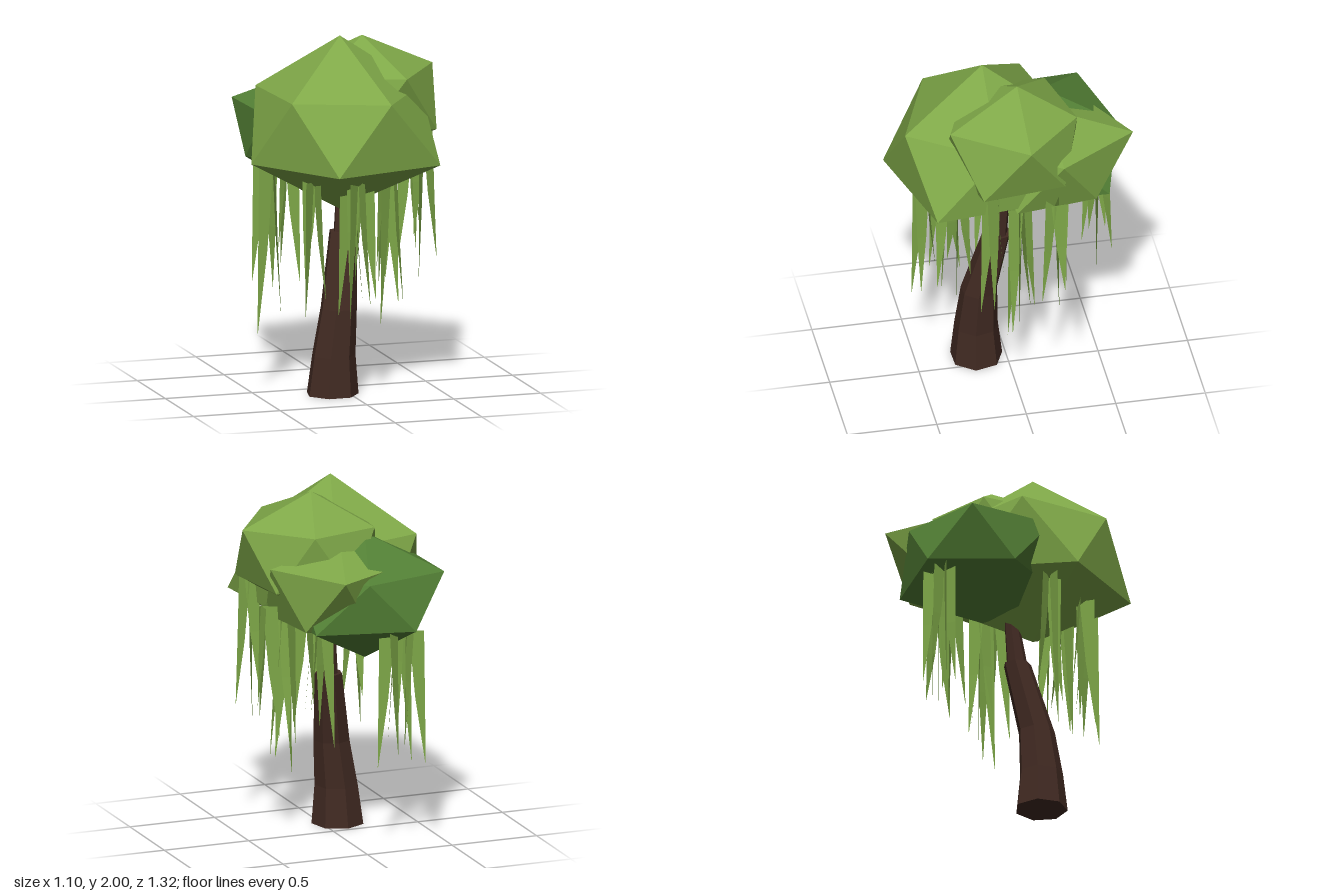
import * as THREE from 'three';

const mat = (name, color, extra = {}) => {
  const m = new THREE.MeshStandardMaterial({ color, flatShading: true, ...extra });
  m.name = name;
  return m;
};

function meshFrom(name, pts, idx, material) {
  const indexed = new THREE.BufferGeometry();
  indexed.setAttribute('position', new THREE.Float32BufferAttribute(pts, 3));
  indexed.setIndex(idx);
  const geo = indexed.toNonIndexed();
  geo.computeVertexNormals();
  const mesh = new THREE.Mesh(geo, material);
  mesh.name = name;
  return mesh;
}

// Uneven twenty-sided crown: ys = heights of top, upper ring, lower ring, bottom
function crown(name, x, z, ys, upper, lower, material) {
  const pts = [x, ys[0], z];
  const ring = (radii, y, offset) => radii.forEach((r, i) => {
    const a = THREE.MathUtils.degToRad(offset + i * 72);
    pts.push(x + r * Math.cos(a), y, z + r * Math.sin(a));
  });
  ring(upper, ys[1], 0);
  ring(lower, ys[2], 36);
  pts.push(x, ys[3], z);
  const idx = [];
  for (let i = 0; i < 5; i++) {
    const j = (i + 1) % 5;
    const u = 1 + i, u2 = 1 + j, l = 6 + i, l2 = 6 + j;
    idx.push(0, u2, u, u, u2, l, l2, l, u2, 11, l, l2);
  }
  return meshFrom(name, pts, idx, material);
}

// Seven-sided wood from rings of [x, y, z, radius], closed at both ends
function wood(name, rings, material) {
  const n = 7, pts = [], idx = [];
  rings.forEach(([x, y, z, r]) => {
    for (let i = 0; i < n; i++) {
      const a = 0.2 + (i / n) * Math.PI * 2;
      pts.push(x + r * Math.cos(a), y, z + r * Math.sin(a));
    }
  });
  const last = (rings.length - 1) * n;
  for (let i = 0; i < n; i++) {
    const j = (i + 1) % n;
    for (let k = 0; k < last; k += n) {
      idx.push(k + i, k + n + i, k + j, k + j, k + n + i, k + n + j);
    }
    if (i > 0 && i < n - 1) idx.push(0, i, j, last, last + j, last + i);
  }
  return meshFrom(name, pts, idx, material);
}

// Cluster of three hanging blades, each turned a different way
function hangingLeaves(x, z, top, tip, angle, material) {
  const pts = [], idx = [];
  [1, 0.74, 0.88].forEach((len, i) => {
    const turn = angle + i * Math.PI / 3;
    const around = angle + i * Math.PI * 2 / 3;
    const dx = Math.cos(turn), dz = Math.sin(turn);
    const ox = Math.cos(around), oz = Math.sin(around);
    const h = (top - tip) * len, b = pts.length / 3;
    // [share of the drop, half width, outward drift]
    [[0, 0.042, 0.025], [0.5, 0.027, 0.045], [1, 0.001, 0.075]].forEach(([t, w, out]) => {
      const cx = x + ox * out, cz = z + oz * out;
      pts.push(cx - dx * w, top - h * t, cz - dz * w, cx + dx * w, top - h * t, cz + dz * w);
    });
    for (let k = b; k < b + 4; k += 2) idx.push(k, k + 2, k + 1, k + 1, k + 2, k + 3);
  });
  return meshFrom('hangingLeaves', pts, idx, material);
}

export function createModel() {
  const model = new THREE.Group();
  model.name = 'tree';
  const leaf = mat('leafGreen', 0x7fa848);
  const dark = mat('darkLeafGreen', 0x538035);
  const blade = mat('hangingLeafGreen', 0x7da647, { side: THREE.DoubleSide });
  const bark = mat('barkBrown', 0x412a22);

  // Bent trunk and the thinner stem on top of it
  model.add(wood('trunk', [
    [-0.092, 0, 0.163, 0.146], [-0.085, 0.22, 0.165, 0.122],
    [-0.053, 0.48, 0.155, 0.102], [0.002, 0.89, 0.065, 0.077]], bark));
  model.add(wood('upperStem', [
    [0.006, 0.86, 0.07, 0.06], [0.015, 1.16, 0.035, 0.04]], bark));

  // Four overlapping crowns
  model.add(crown('frontCrown', -0.04, 0.14, [2, 1.69, 1.31, 1.03],
    [0.46, 0.484, 0.444, 0.486, 0.46], [0.58, 0.547, 0.51, 0.5, 0.5], leaf));
  model.add(crown('sideCrown', 0.14, -0.02, [1.96, 1.78, 1.46, 1.25],
    [0.405, 0.42, 0.38, 0.36, 0.33], [0.43, 0.4, 0.38, 0.36, 0.36], leaf));
  model.add(crown('backCrown', 0.05, -0.22, [1.71, 1.6, 1.28, 1.2],
    [0.41, 0.42, 0.36, 0.34, 0.46], [0.42, 0.3, 0.2, 0.25, 0.35], leaf));
  model.add(crown('darkCrown', -0.1, -0.21, [1.75, 1.56, 1.28, 1.04],
    [0.4, 0.42, 0.42, 0.45, 0.41], [0.48, 0.4, 0.37, 0.44, 0.5], dark));

  // Hanging leaves: x, z, top height, tip height, direction
  const clusters = [
    [-0.41, 0.05, 1.27, 0.34, 3.1], [-0.26, 0.33, 1.23, 0.48, 2.4],
    [-0.05, 0.47, 1.24, 0.47, 2.4], [-0.04, 0.34, 1.22, 0.48, 3.0],
    [0.04, 0.29, 1.25, 0.55, 0.3], [0.29, 0.01, 1.25, 0.35, 2.6],
    [0.27, -0.02, 1.26, 0.46, 0.4], [0.43, 0.17, 1.45, 0.64, 2.2],
    [0.47, -0.17, 1.38, 0.64, 3.6], [0.17, -0.25, 1.37, 0.57, 3.9],
    [-0.13, -0.53, 1.28, 0.49, 0.4], [-0.25, -0.53, 1.26, 0.5, 3.5],
  ];
  clusters.forEach((c) => model.add(hangingLeaves(...c, blade)));
  return model;
}
